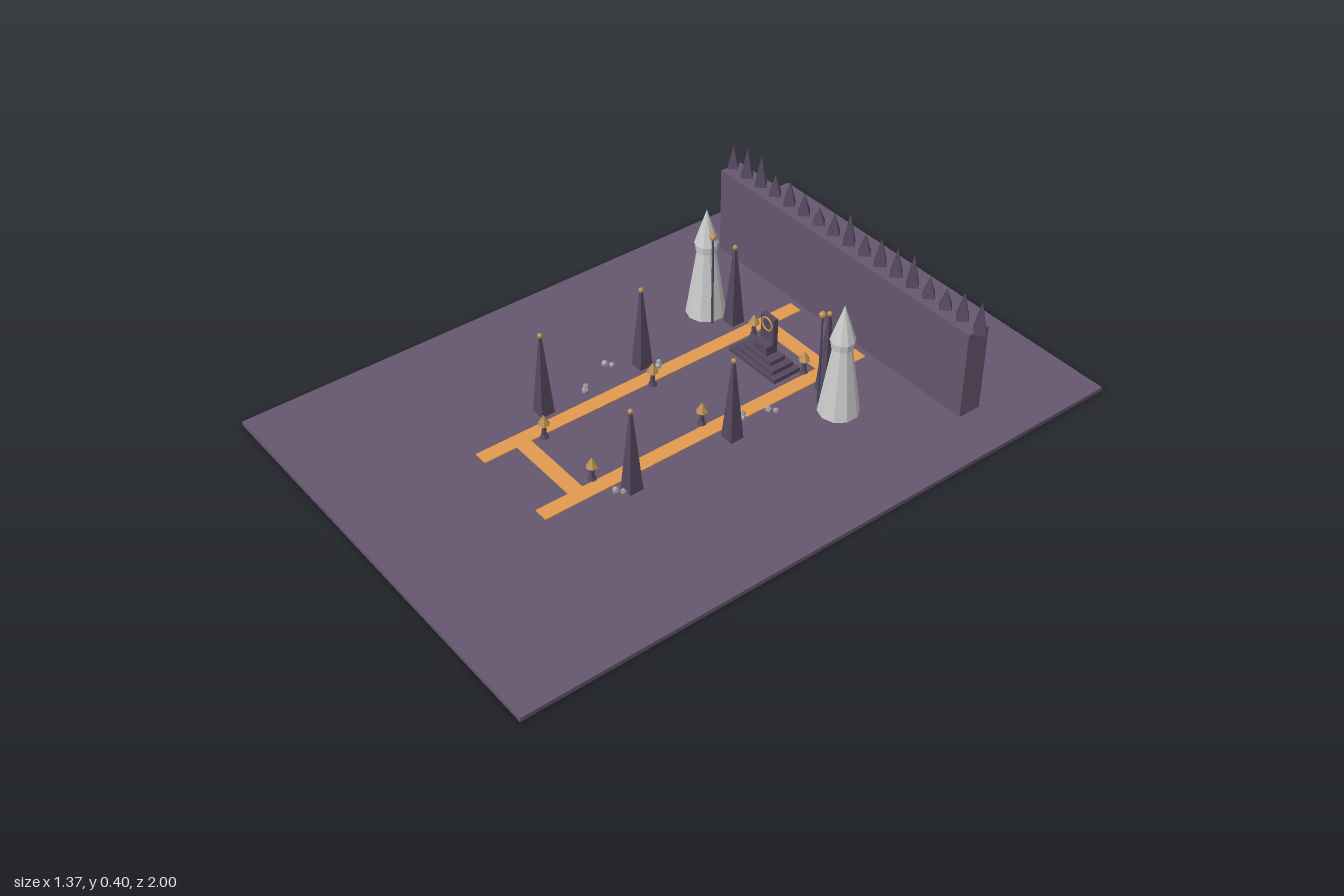
import * as THREE from 'three';

const mat = (color) => new THREE.MeshStandardMaterial({ color, flatShading: true });

export function createModel() {
  const root = new THREE.Group();
  const purple = mat(0x65566f), dark = mat(0x55485f), orange = mat(0xe09a50);
  const gold = mat(0xb88f4e), grey = mat(0xcccccc), stone = mat(0x9a9a9e);
  const G = 0.013; // ground level

  const add = (parent, name, geometry, material, x, y, z) => {
    const m = new THREE.Mesh(geometry, material);
    m.name = name;
    m.position.set(x, y, z);
    parent.add(m);
    return m;
  };
  // Box and tapered cylinder placed by the height of their underside
  const box = (p, name, w, h, d, material, x, y, z) =>
    add(p, name, new THREE.BoxGeometry(w, h, d), material, x, y + h / 2, z);
  const taper = (p, name, rTop, rBase, h, sides, material, x, y, z) =>
    add(p, name, new THREE.CylinderGeometry(rTop, rBase, h, sides), material, x, y + h / 2, z);
  const group = (name, x, z) => {
    const g = new THREE.Group();
    g.name = name;
    g.position.set(x, G, z);
    root.add(g);
    return g;
  };

  // Ground and rear wall
  box(root, 'ground', 1.37, G, 2, purple, 0, 0, 0);
  box(root, 'wall', 1.06, 0.284, 0.076, purple, 0, G, -0.624);

  // Uneven row of four-sided spikes on the wall
  const tips = [0.37, 0.395, 0.4, 0.365, 0.375, 0.365, 0.35, 0.365, 0.4,
    0.365, 0.385, 0.385, 0.4, 0.36, 0.36, 0.385, 0.39];
  tips.forEach((tip, i) => {
    const base = i === 0 || i === tips.length - 1 ? 0.287 : 0.294;
    taper(root, 'wallSpike', 0, 0.026, tip - base, 4, dark, (i - 8) * 0.0658, base, -0.63);
  });

  // Inlaid paths
  for (const s of [-1, 1]) {
    box(root, 'longPath', 0.046, 0.003, 1.13, orange, s * 0.143, G, 0);
    box(root, 'crossPath', 0.24, 0.003, 0.047, orange, 0, G, s * 0.437);
  }

  for (const s of [-1, 1]) {
    // Tower with collar and pointed roof
    const tower = group('tower', s * 0.297, -0.342);
    taper(tower, 'towerBody', 0.028, 0.061, 0.224, 10, grey, 0, 0, 0);
    taper(tower, 'towerCollar', 0.034, 0.032, 0.028, 10, grey, 0, 0.222, 0);
    taper(tower, 'towerRoof', 0, 0.037, 0.114, 10, grey, 0, 0.248, 0);

    // Tall lantern beside the tower
    const lantern = group('tallLantern', s * 0.237, -0.318);
    taper(lantern, 'pole', 0.003, 0.004, 0.3, 6, dark, 0, 0, 0);
    add(lantern, 'lanternGlobe', new THREE.SphereGeometry(0.011, 8, 6), gold, 0, 0.307, 0);

    // Obelisks
    for (const z of [-0.375, -0.033, 0.312]) {
      const obelisk = group('obelisk', s * 0.205, z);
      const shaft = taper(obelisk, 'obeliskShaft', 0.005, 0.031, 0.258, 4, dark, 0, 0, 0);
      shaft.rotation.y = Math.PI / 4;
      add(obelisk, 'obeliskFinial', new THREE.SphereGeometry(0.008, 8, 6), gold, 0, 0.265, 0);
    }

    // Low lamps along the inner edge of the path
    for (const z of [-0.375, 0, 0.375]) {
      const lamp = group('pathLamp', s * 0.112, z);
      taper(lamp, 'lampFoot', 0.009, 0.014, 0.012, 6, dark, 0, 0, 0);
      taper(lamp, 'lampStem', 0.006, 0.008, 0.036, 6, dark, 0, 0.012, 0);
      taper(lamp, 'lampCap', 0, 0.018, 0.032, 6, gold, 0, 0.047, 0);
    }
  }

  // Stepped dais with a tall seat and ring emblem
  const dais = group('dais', 0, -0.322);
  [[0.2, 0.098], [0.16, 0.078], [0.115, 0.055]].forEach(([w, d], i) =>
    box(dais, 'step', w, 0.014, d, dark, 0, i * 0.014, 0));
  box(dais, 'seat', 0.056, 0.03, 0.036, dark, 0, 0.042, 0);
  box(dais, 'seatBack', 0.056, 0.115, 0.016, dark, 0, 0.042, -0.014);
  add(dais, 'ringEmblem', new THREE.TorusGeometry(0.021, 0.003, 6, 16), gold, 0, 0.132, -0.005);

  // Scattered pairs of small stones
  const rocks = [[-0.172, -0.068], [-0.26, 0.048], [-0.21, 0.165],
    [0.19, -0.19], [0.158, -0.108], [0.198, 0.348]];
  rocks.forEach(([x, z], i) => {
    for (const s of [-1, 1]) {
      const r = 0.009 + 0.002 * ((i + (s > 0 ? 1 : 0)) % 2);
      const m = add(root, 'smallStone', new THREE.DodecahedronGeometry(r), stone,
        x + s * 0.008, G + r * 0.7, z + s * 0.007 * (i % 2 ? -1 : 1));
      m.rotation.set(i, i * 2 + s, 0.5);
    }
  });
  return root;
}
